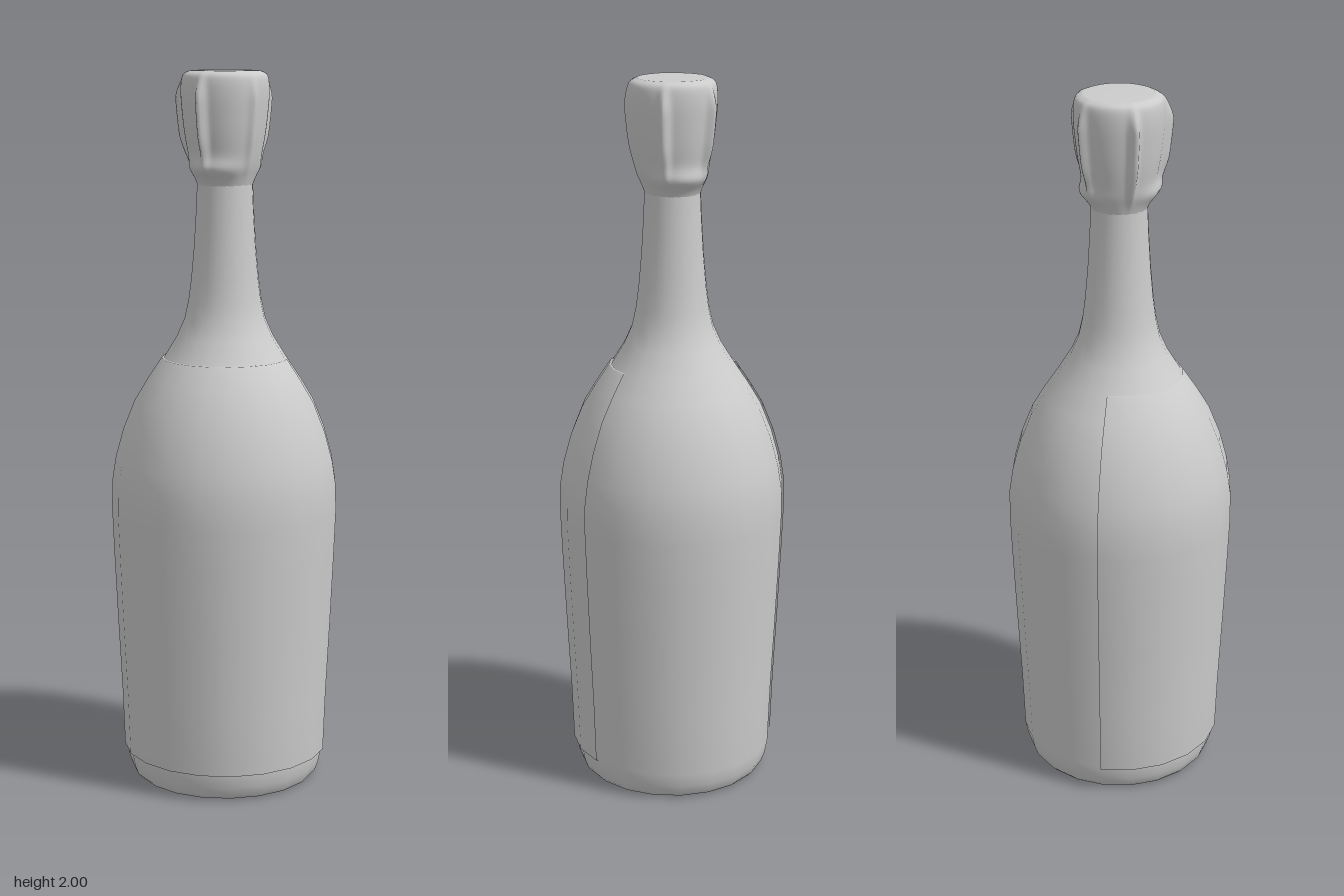
import * as THREE from 'three';
import { mergeVertices } from 'three/addons/utils/BufferGeometryUtils.js';

const material = new THREE.MeshStandardMaterial({ color: 0xcccccc, side: THREE.DoubleSide });
const SIDES = 20;
const STEP = (Math.PI * 2) / SIDES;
const toPoints = (list) => list.map(([r, y]) => new THREE.Vector2(r, y));

// Body outline from the label's lower edge up to its upper edge
const bodyCurve = [
  [0.284, 0.08], [0.29, 0.25], [0.3, 0.45], [0.309, 0.65], [0.314, 0.78], [0.313, 0.86],
  [0.302, 0.93], [0.28, 1.01], [0.248, 1.09], [0.212, 1.15], [0.172, 1.21],
];

function namedMesh(name, geometry) {
  const mesh = new THREE.Mesh(geometry, material);
  mesh.name = name;
  return mesh;
}

// Glass with a hollow punt under the base
function makeBottle() {
  const punt = [[0, 0.1], [0.04, 0.096], [0.07, 0.075], [0.095, 0.04], [0.13, 0.022], [0.2, 0.01], [0.24, 0]];
  const heel = [[0.256, 0.003], [0.267, 0.015], [0.276, 0.04]];
  const neck = [
    [0.135, 1.27], [0.113, 1.32], [0.102, 1.37], [0.094, 1.43], [0.086, 1.52], [0.08, 1.62], [0.076, 1.72], [0.076, 1.8],
  ];
  return namedMesh('bottle', new THREE.LatheGeometry(toPoints([...punt, ...heel, ...bodyCurve, ...neck]), SIDES));
}

// Label wrapped round the front and sides, just proud of the glass
function makeLabel() {
  const outer = bodyCurve.map(([r, y]) => [r + 0.006, y]);
  const profile = [bodyCurve[0], ...outer, bodyCurve[bodyCurve.length - 1]];
  return namedMesh('label', new THREE.LatheGeometry(toPoints(profile), 12, -6 * STEP, 12 * STEP));
}

// Foil over the cork, pinched into five upright folds
function makeFoil() {
  const outline = new THREE.SplineCurve(toPoints([
    [0.076, 1.69], [0.084, 1.715], [0.094, 1.745], [0.103, 1.785], [0.111, 1.83],
    [0.117, 1.88], [0.121, 1.93], [0.12, 1.97], [0.113, 1.99], [0.095, 1.999],
  ]));
  const profile = [...outline.getPoints(36), new THREE.Vector2(0.05, 2), new THREE.Vector2(0, 2)];
  let geometry = new THREE.LatheGeometry(profile, 120);
  geometry.deleteAttribute('uv');
  geometry.deleteAttribute('normal');
  geometry = mergeVertices(geometry, 1e-5);

  // [angle from the front in degrees, height of the fold]
  const folds = [[0, 0.024], [72, 0.009], [146, 0.022], [213, 0.019], [282, 0.025]];
  const position = geometry.attributes.position;
  for (let i = 0; i < position.count; i++) {
    const x = position.getX(i), y = position.getY(i), z = position.getZ(i);
    const r = Math.hypot(x, z);
    if (r < 0.08 && y > 1.95) continue;
    const angle = Math.atan2(x, z);
    const fade = THREE.MathUtils.smoothstep(y, 1.69, 1.83) * (1 - 0.9 * THREE.MathUtils.smoothstep(y, 1.92, 2));
    let push = 0;
    for (const [degrees, height] of folds) {
      const d = angle - THREE.MathUtils.degToRad(degrees);
      const gap = Math.atan2(Math.sin(d), Math.cos(d));
      push += height * fade * Math.exp(-((gap / 0.1) ** 2));
    }
    // Gathered hem swelling at front and back
    push += 0.016 * Math.cos(angle) ** 2 * Math.exp(-(((y - 1.735) / 0.025) ** 2));
    const k = (r + push) / r;
    position.setXYZ(i, x * k, y, z * k);
  }
  geometry.computeVertexNormals();
  return namedMesh('foilCap', geometry);
}

export function createModel() {
  const model = new THREE.Group();
  model.name = 'sparklingWineBottle';
  model.add(makeBottle(), makeLabel(), makeFoil());
  return model;
}
